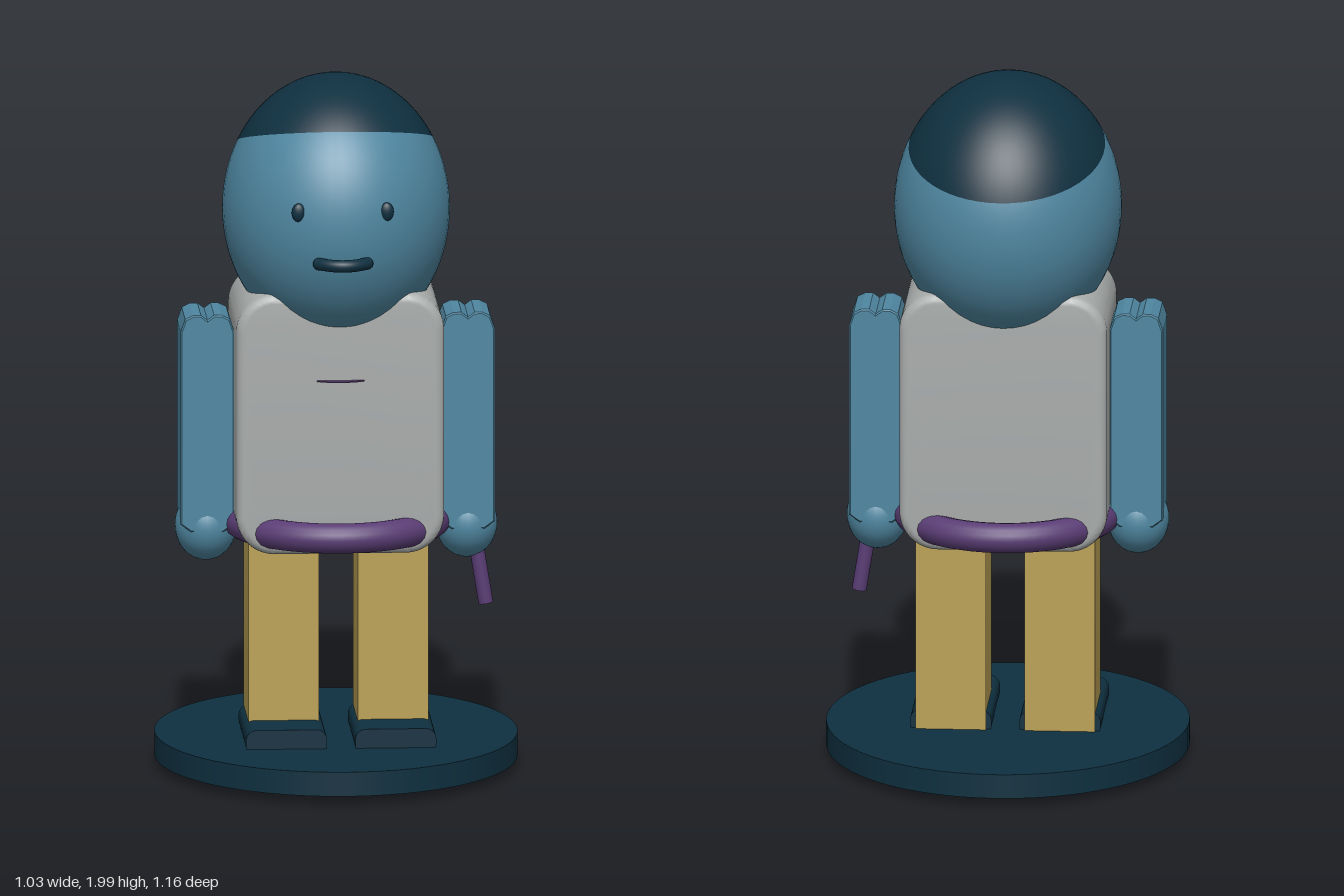
import * as THREE from 'three';
import { toCreasedNormals } from 'three/addons/utils/BufferGeometryUtils.js';

const mat = (name, color) => Object.assign(new THREE.MeshStandardMaterial({ color }), { name });

// Rounded rectangle in x/y, extruded along z and centred on the origin
function roundedPrism(w, h, d, r, bevel = 0, segs = 6) {
  const x = w / 2 - bevel, y = h / 2 - bevel, c = Math.max(r - bevel, 0.005);
  const s = new THREE.Shape();
  s.absarc(x - c, y - c, c, 0, Math.PI / 2);
  s.absarc(-x + c, y - c, c, Math.PI / 2, Math.PI);
  s.absarc(-x + c, -y + c, c, Math.PI, Math.PI * 1.5);
  s.absarc(x - c, -y + c, c, Math.PI * 1.5, Math.PI * 2);
  const g = new THREE.ExtrudeGeometry(s, {
    depth: d - 2 * bevel, curveSegments: segs, bevelEnabled: bevel > 0,
    bevelThickness: bevel, bevelSize: bevel, bevelSegments: 4,
  });
  g.translate(0, 0, -d / 2 + bevel);
  return toCreasedNormals(g, 0.6);
}

export function createModel() {
  const model = new THREE.Group();
  const skin = mat('blue skin', 0x4f87a1);
  const shirt = mat('grey shirt', 0xa9adac);
  const cloth = mat('tan trousers', 0xbba156);
  const dark = mat('dark teal', 0x0f3040);
  const purple = mat('purple', 0x5a3d75);

  const add = (name, geo, material, x = 0, y = 0, z = 0) => {
    const m = new THREE.Mesh(geo, material);
    m.name = name;
    m.position.set(x, y, z);
    model.add(m);
    return m;
  };

  // Oval base
  add('base', new THREE.CylinderGeometry(1, 1, 0.07, 72).scale(0.515, 1, 0.58), dark, 0, 0.065, 0);

  // Torso with softened edges
  add('torso', roundedPrism(0.59, 0.755, 0.46, 0.11, 0.025, 10), shirt, 0, 1.0325, 0);

  // Belt ring, partly sunk into the torso
  add('belt', new THREE.TorusGeometry(0.3, 0.043, 16, 64).rotateX(Math.PI / 2).scale(0.955, 1, 1),
    purple, 0, 0.718, 0);

  // Small flat badge edge on the chest
  add('chestBadge', new THREE.CylinderGeometry(1, 1, 0.003, 24).scale(0.07, 1, 0.03), purple, 0, 1.16, 0.222);

  // Arm outline with a notched shoulder
  const armShape = new THREE.Shape([
    [-0.072, -0.29], [-0.045, -0.31], [0.045, -0.31], [0.072, -0.29], [0.072, 0.265],
    [0.06, 0.3], [0.04, 0.31], [0.02, 0.31], [0, 0.295], [-0.02, 0.31],
    [-0.04, 0.31], [-0.06, 0.3], [-0.072, 0.265],
  ].map(([x, y]) => new THREE.Vector2(x, y)));
  const armGeo = new THREE.ExtrudeGeometry(armShape, {
    depth: 0.17, bevelEnabled: true, bevelThickness: 0.005, bevelSize: 0.004, bevelSegments: 1,
  }).translate(0, 0, -0.085);
  const handGeo = new THREE.SphereGeometry(1, 32, 20).scale(0.088, 0.1, 0.1);
  const legGeo = roundedPrism(0.2, 0.7, 0.24, 0.035);
  const shoeGeo = roundedPrism(0.23, 0.075, 0.365, 0.03);

  // Mirrored limbs
  for (const [side, label] of [[1, 'left'], [-1, 'right']]) {
    add(label + 'Arm', armGeo, skin, side * 0.37, 1.01, 0);
    add(label + 'Hand', handGeo, skin, side * 0.37, 0.7, 0);
    add(label + 'Leg', legGeo, cloth, side * 0.155, 0.355, 0);
    add(label + 'Shoe', shoeGeo, dark, side * 0.155, 0.1175, 0.073);
    // Eyes
    add(label + 'Eye', new THREE.SphereGeometry(1, 20, 14).scale(0.02, 0.027, 0.013),
      dark, side * 0.125, 1.67, 0.331);
  }

  // Stick held in the left hand
  const stick = add('stick', new THREE.CylinderGeometry(0.021, 0.021, 0.24, 20), purple, 0.405, 0.587, 0.02);
  stick.rotation.z = 0.16;

  // Head split along a tilted circle into face and hair
  const split = 1.04;
  const headPart = (start, length, rows) => new THREE.SphereGeometry(1, 56, rows, 0, Math.PI * 2, start, length)
    .rotateX(-0.256).scale(0.323, 0.385, 0.366);
  add('hair', headPart(0, split, 16), dark, 0, 1.615, 0);
  add('head', headPart(split, Math.PI - split, 28), skin, 0, 1.615, 0);

  // Mouth: a bowed bar with round ends
  const bow = new THREE.QuadraticBezierCurve3(
    new THREE.Vector3(-0.068, 0, 0.35), new THREE.Vector3(0, 0, 0.425), new THREE.Vector3(0.068, 0, 0.35));
  add('mouth', new THREE.TubeGeometry(bow, 20, 0.018, 12), dark, 0, 1.525, 0);
  for (const s of [1, -1]) {
    add('mouthCorner', new THREE.SphereGeometry(0.018, 14, 10), dark, s * 0.068, 1.525, 0.35);
  }

  return model;
}
